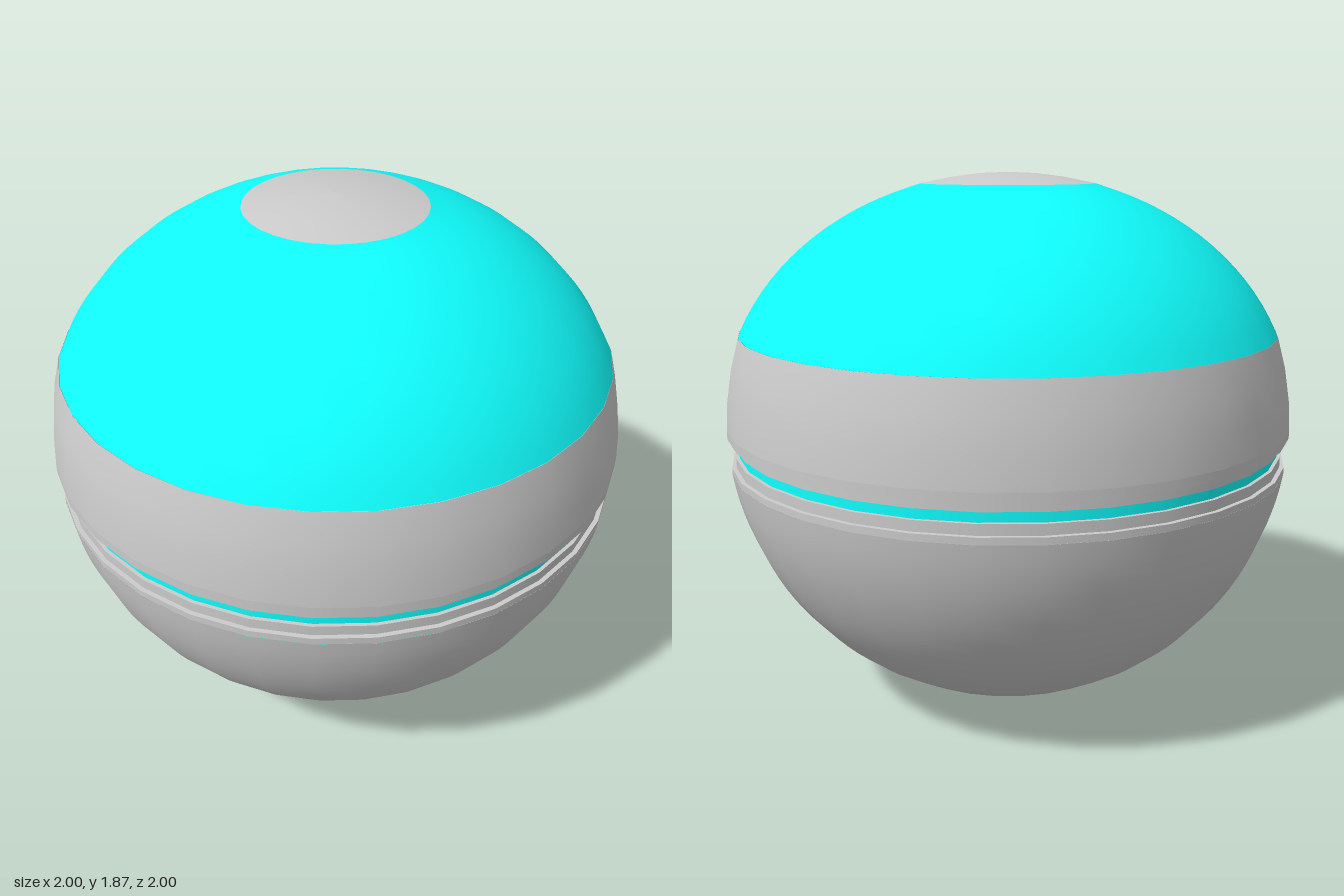
import * as THREE from 'three';

const SIDES = 32;
const grey = new THREE.MeshStandardMaterial({ color: 0xcccccc, side: THREE.DoubleSide });
const cyan = new THREE.MeshStandardMaterial({ color: 0x10ffff, side: THREE.DoubleSide });

// Arc of an elliptical dome between two heights, listed bottom to top
function arc(centreY, a, b, y0, y1, steps) {
  const angle = (y) => Math.asin(THREE.MathUtils.clamp((y - centreY) / b, -1, 1));
  const t0 = angle(y0);
  const t1 = angle(y1);
  return Array.from({ length: steps + 1 }, (_, i) => {
    const t = t0 + (t1 - t0) * i / steps;
    return [Math.max(0, a * Math.cos(t)), centreY + b * Math.sin(t)];
  });
}

export function createModel() {
  const group = new THREE.Group();

  // Smooth surface of revolution
  function turn(name, profile, material) {
    const points = profile.map(([r, y]) => new THREE.Vector2(r, y));
    const mesh = new THREE.Mesh(new THREE.LatheGeometry(points, SIDES), material);
    mesh.name = name;
    group.add(mesh);
  }

  // Hard-edged ring: each profile segment keeps its own normals
  function ring(name, profile, material) {
    for (let i = 0; i < profile.length - 1; i++) turn(name, [profile[i], profile[i + 1]], material);
  }

  // Lower bowl with bevelled foot and coloured base
  turn('base', arc(1, 1, 1, 0, 0.115, 8), cyan);
  ring('footBevel', [[0.466, 0.115], [0.593, 0.195]], grey);
  turn('lowerBowl', arc(1, 1, 1, 0.195, 0.862, 16), grey);

  // Stepped seam around the middle
  ring('lowerLip', [[0.99, 0.862], [0.99, 0.885], [0.975, 0.885]], grey);
  ring('lowerSeam', [[0.975, 0.885], [0.975, 0.92], [0.963, 0.92]], grey);
  ring('glowStrip', [[0.963, 0.92], [0.963, 0.955]], cyan);
  ring('upperSeam', [[0.963, 0.955], [0.975, 0.955], [0.975, 0.988]], grey);
  ring('upperLip', [[0.975, 0.988], [1, 0.988], [1, 1.02]], grey);

  // Upper shell: side band, coloured dome, top cap
  turn('sideBand', [[1, 1.02], [0.992, 1.12], [0.973, 1.23], [0.945, 1.33]], grey);
  const rim = [0.305, 1.832];
  const dome = arc(1, 1.02, 0.87, 1.33, 1.81, 14);
  turn('dome', [...dome, rim], cyan);
  turn('topCap', [rim, [0.2, 1.853], [0.1, 1.866], [0, 1.87]], grey);

  return group;
}
